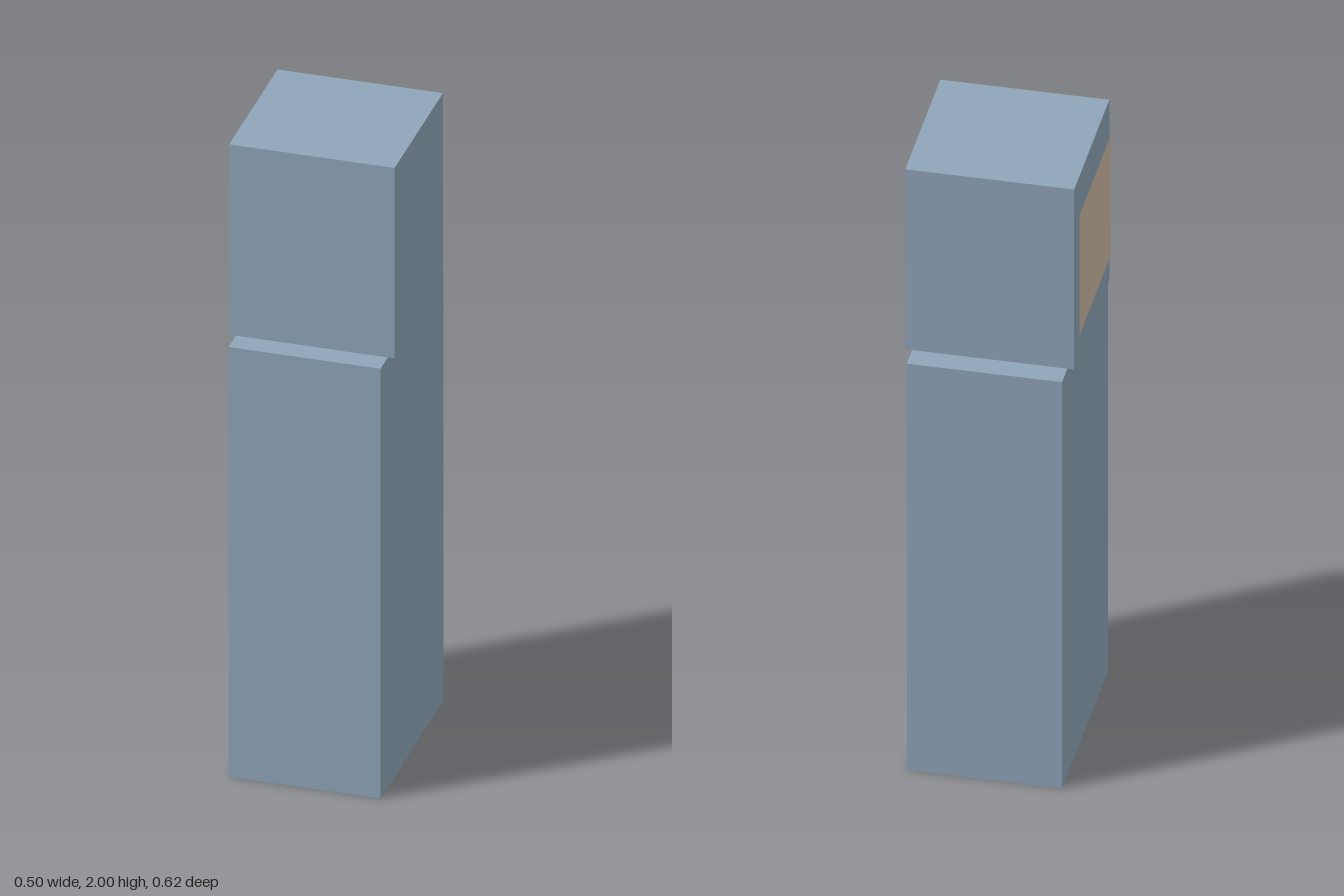
import * as THREE from 'three';

export function createModel() {
  const group = new THREE.Group();
  const bodyBlue = new THREE.MeshStandardMaterial({ color: 0x8fa5b9 });
  bodyBlue.name = 'greyBlue';
  const panelTan = new THREE.MeshStandardMaterial({ color: 0xccbba4 });
  panelTan.name = 'tan';

  const add = (name, geometry, material, x, y, z = 0) => {
    const mesh = new THREE.Mesh(geometry, material);
    mesh.name = name;
    mesh.position.set(x, y, z);
    group.add(mesh);
    return mesh;
  };

  const centreX = 0.005;    // blocks sit slightly aside to balance the panel
  const baseHeight = 1.386;
  const headHeight = 2 - baseHeight;
  const headY = baseHeight + headHeight / 2;

  // Tall base and the wider, shallower head on top
  add('base', new THREE.BoxGeometry(0.452, baseHeight, 0.616), bodyBlue, centreX, baseHeight / 2);
  add('head', new THREE.BoxGeometry(0.492, headHeight, 0.473), bodyBlue, centreX, headY);

  // Thin panel standing just off the -x side of the head
  const panel = add('sidePanel', new THREE.PlaneGeometry(0.42, 0.41), panelTan, -0.251, headY);
  panel.rotation.y = -Math.PI / 2;

  return group;
}
